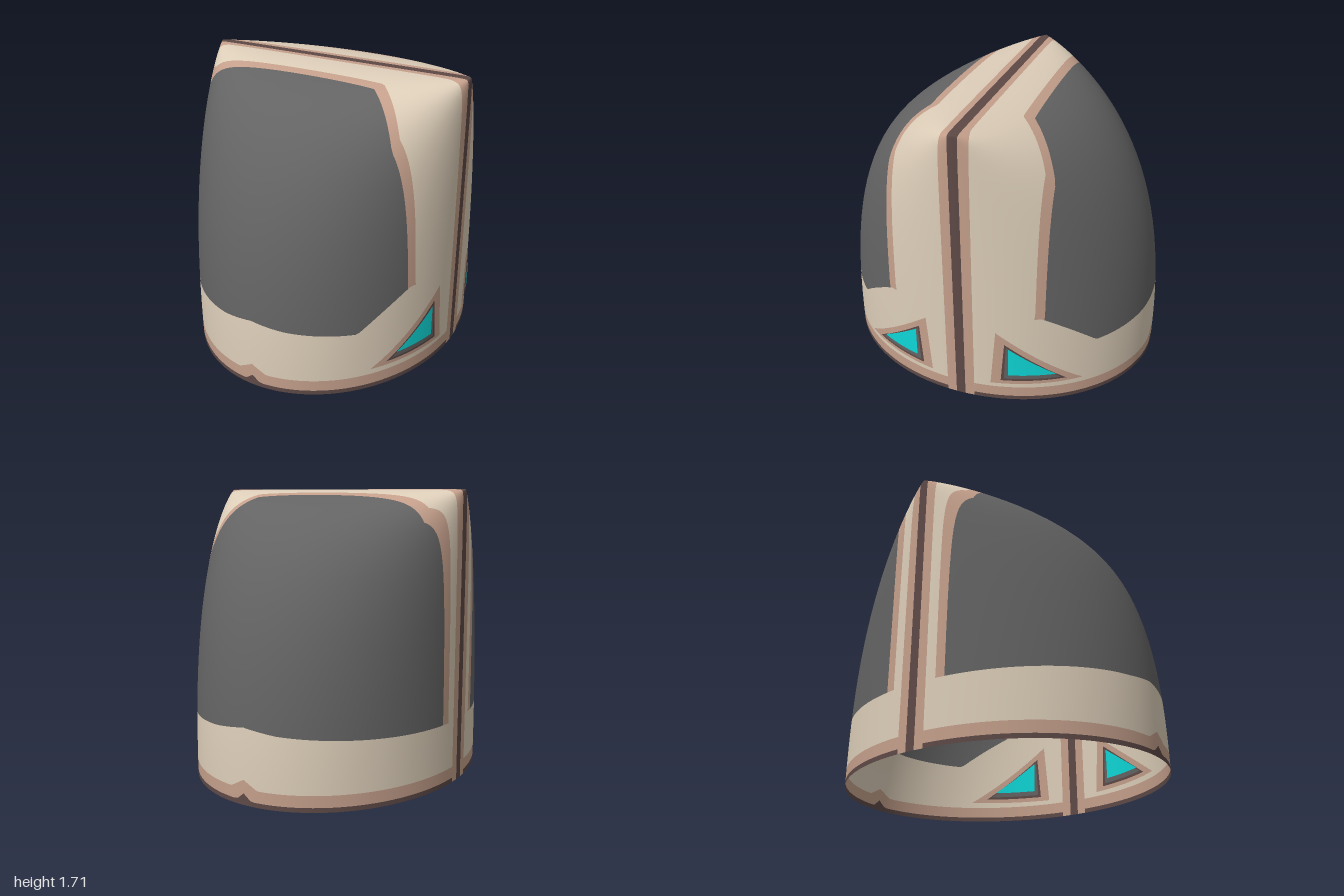
import * as THREE from 'three';

const A = 0.837, H = 1.71, N = 2.5; // half width, height, exponent of the side profile

const mat = (name, color) => {
  const m = new THREE.MeshStandardMaterial({ color, side: THREE.DoubleSide });
  m.name = name;
  return m;
};

// Linear interpolation through [x, value] points
function lerpAt(pts, x) {
  if (x <= pts[0][0]) return pts[0][1];
  for (let i = 1; i < pts.length; i++) {
    const [x0, v0] = pts[i - 1], [x1, v1] = pts[i];
    if (x <= x1) return v0 + (v1 - v0) * (x - x0) / (x1 - x0);
  }
  return pts[pts.length - 1][1];
}

// Side profile: half depth w and height y along the parameter t (0 = rim, PI/2 = ridge)
const clamp01 = v => Math.min(1, Math.max(0, v));
const wAt = t => Math.pow(clamp01(Math.cos(t)), 2 / N);
const yAt = t => H * Math.pow(clamp01(Math.sin(t)), 2 / N);
const tOfY = y => Math.asin(Math.pow(clamp01(y / H), N / 2));
const tOfW = w => Math.acos(Math.pow(clamp01(w), N / 2));

// Painted edges: depth of the pink trim, and the lower edge of the panel, across x
const trimOuter = [[-0.84, 0.18], [-0.82, 0.2], [-0.72, 0.29], [0.4, 0.3], [0.6, 0.48], [0.84, 0.48]];
const trimInner = [[-0.84, 0.14], [-0.82, 0.15], [-0.72, 0.235], [0.43, 0.245], [0.62, 0.43], [0.84, 0.43]];
const seamTrim = [[-0.83, 0.085], [-0.74, 0.066], [0.74, 0.066], [0.83, 0.085]];
const panelBase = [[-0.84, 0.375], [-0.2, 0.412], [0, 0.437], [0.2, 0.412], [0.55, 0.387], [0.735, 0.6], [0.84, 0.6]];

// Heights (as t) where the colour changes in one column, from rim to ridge
function bounds(phi) {
  const x = A * Math.sin(phi), c = Math.max(Math.cos(phi), 1e-6);
  const atDepth = z => tOfW(z / c);
  const peak = (size, half) => size * Math.max(0, 1 - Math.abs(x) / half);
  const base = tOfY(lerpAt(panelBase, x));
  const seam = atDepth(0.028);
  const pink = Math.min(seam, atDepth(lerpAt(seamTrim, x)));
  const inner = Math.max(base, atDepth(lerpAt(trimInner, x)));
  const outer = Math.max(base, Math.min(inner, atDepth(lerpAt(trimOuter, x))));
  const low = [tOfY(0.027 + peak(0.04, 0.05)), tOfY(0.095 + peak(0.05, 0.09)), base, outer, inner];
  return [0, ...low.map(t => Math.min(t, pink)), pink, seam, Math.PI / 2];
}

// Columns around half the shell, denser where upright colour edges run
function makeColumns() {
  const cols = [];
  for (let i = 0; i <= 120; i++) cols.push(-Math.PI / 2 + Math.PI * i / 120);
  for (const z of [0.028, 0.085, 0.145, 0.19, 0.43, 0.48]) {
    for (let k = 0; k <= 12; k++) {
      const w = wAt(tOfY(k * 0.13));
      if (z < w) cols.push(Math.acos(z / w), -Math.acos(z / w));
    }
  }
  cols.sort((a, b) => a - b);
  return cols.filter((p, i) => i === 0 || p - cols[i - 1] > 1e-5);
}

// One colour band of the shell, on the front (side 1) or back (side -1)
function bandGeometry(cols, limits, band, rows, side) {
  const pos = [], nor = [], idx = [];
  cols.forEach((phi, i) => {
    const s = Math.sin(phi), c = Math.max(0, Math.cos(phi));
    const t0 = limits[i][band], t1 = limits[i][band + 1];
    for (let j = 0; j <= rows; j++) {
      const t = t0 + (t1 - t0) * j / rows, w = wAt(t), y = yAt(t);
      pos.push(A * s, y, side * w * c);
      const dy = Math.pow(w, N - 1), dw = Math.pow(y / H, N - 1) / H;
      const n = new THREE.Vector3(w * s * dy, A * c * c * dw + 1e-6, side * A * c * dy).normalize();
      nor.push(n.x, n.y, n.z);
    }
    if (i === 0) return;
    const a0 = limits[i - 1][band + 1] - limits[i - 1][band];
    if (a0 < 1e-6 && t1 - t0 < 1e-6) return;
    for (let j = 0; j < rows; j++) {
      const a = (i - 1) * (rows + 1) + j, b = a + rows + 1;
      if (side > 0) idx.push(a, b, b + 1, a, b + 1, a + 1);
      else idx.push(a, b + 1, b, a, a + 1, b + 1);
    }
  });
  const g = new THREE.BufferGeometry();
  g.setAttribute('position', new THREE.Float32BufferAttribute(pos, 3));
  g.setAttribute('normal', new THREE.Float32BufferAttribute(nor, 3));
  g.setIndex(idx);
  return g;
}

// Thin triangle wrapped on the +x side; corners are [z, y], lift is the gap from the shell
function badgeGeometry(corners, lift, side) {
  const n = 12, pos = [], idx = [], id = (i, j) => i * (i + 1) / 2 + j;
  const [p, q, r] = corners;
  for (let i = 0; i <= n; i++) {
    for (let j = 0; j <= i; j++) {
      const a = 1 - i / n, b = (i - j) / n, c = j / n;
      const z = a * p[0] + b * q[0] + c * r[0], y = a * p[1] + b * q[1] + c * r[1];
      const s = z / wAt(tOfY(y));
      pos.push(A * Math.sqrt(1 - s * s) + lift, y, side * z * (1 + lift));
      if (i === n) continue;
      const tris = [[id(i, j), id(i + 1, j), id(i + 1, j + 1)]];
      if (j < i) tris.push([id(i, j), id(i + 1, j + 1), id(i, j + 1)]);
      for (const [u, v, w] of tris) side > 0 ? idx.push(u, v, w) : idx.push(u, w, v);
    }
  }
  const g = new THREE.BufferGeometry();
  g.setAttribute('position', new THREE.Float32BufferAttribute(pos, 3));
  g.setIndex(idx);
  g.computeVertexNormals();
  return g;
}

export function createModel() {
  const beige = mat('beige', 0xdccdb8), pink = mat('dusty pink', 0xc49f8b);
  const brown = mat('dark brown', 0x5d4946), grey = mat('charcoal grey', 0x636363);
  const cyan = mat('cyan', 0x0fd6d6);
  const model = new THREE.Group();
  model.name = 'shell';
  const add = (parent, name, geometry, material) => {
    const m = new THREE.Mesh(geometry, material);
    m.name = name;
    parent.add(m);
  };

  // Colour bands from rim to ridge: name, material, rows
  const bands = [
    ['rimEdge', brown, 2], ['rimTrim', pink, 2], ['lowerBand', beige, 8], ['panel', grey, 20],
    ['panelTrim', pink, 10], ['upperBand', beige, 16], ['seamTrim', pink, 10], ['seam', brown, 10],
  ];
  // Triangular side badges, stacked from the outer border inwards: [z, y] corners
  const badges = [
    ['badgeTrim', pink, [[0.69, 0.13], [0.185, 0.122], [0.215, 0.5]]],
    ['badgeBorder', brown, [[0.605, 0.153], [0.245, 0.15], [0.265, 0.42]]],
    ['badgeInset', grey, [[0.575, 0.168], [0.263, 0.166], [0.275, 0.4]]],
    ['badgeLight', cyan, [[0.55, 0.197], [0.287, 0.195], [0.287, 0.39]]],
  ];

  const cols = makeColumns(), limits = cols.map(bounds);
  for (const [label, side] of [['front', 1], ['back', -1]]) {
    const half = new THREE.Group();
    half.name = label + 'Half';
    bands.forEach(([name, m, rows], k) => add(half, name, bandGeometry(cols, limits, k, rows, side), m));
    // Badges show on both the outside and the inside of the shell
    badges.forEach(([name, m, corners], k) => {
      const lift = 0.002 * (k + 1);
      add(half, name, badgeGeometry(corners, lift, side), m);
      add(half, name + 'Inside', badgeGeometry(corners, -lift, side), m);
    });
    model.add(half);
  }
  return model;
}
